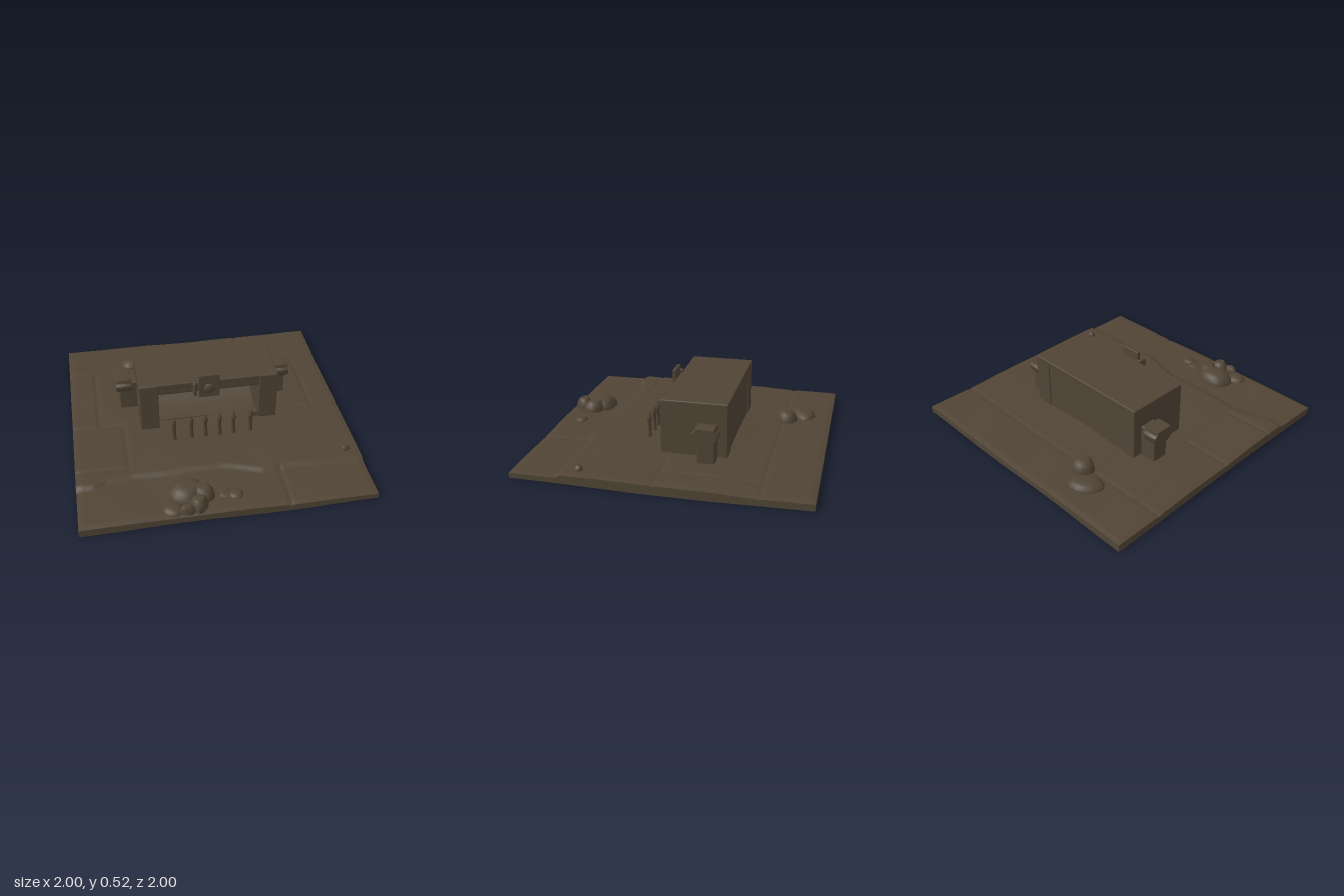
import * as THREE from 'three';
import { toCreasedNormals } from 'three/addons/utils/BufferGeometryUtils.js';
import { RoundedBoxGeometry } from 'three/addons/geometries/RoundedBoxGeometry.js';

export function createModel() {
  const group = new THREE.Group();
  const stone = new THREE.MeshStandardMaterial({ color: 0x504435, side: THREE.DoubleSide });
  stone.name = 'dark brown stone';

  const add = (name, geometry, x = 0, y = 0, z = 0, parent = group) => {
    const mesh = new THREE.Mesh(geometry, stone);
    mesh.name = name;
    mesh.position.set(x, y, z);
    parent.add(mesh);
    return mesh;
  };
  const block = (w, h, d, r = 0.008) => new RoundedBoxGeometry(w, h, d, 2, r);
  const { smoothstep: smooth, lerp, clamp } = THREE.MathUtils;

  // Wavering crack across the front of the paving, as (x, z) points
  const crack = [[-1, 0.64], [-0.88, 0.65], [-0.8, 0.61], [-0.62, 0.58], [-0.4, 0.59], [-0.2, 0.58],
    [0, 0.58], [0.12, 0.61], [0.28, 0.67], [0.45, 0.64], [0.7, 0.66], [1, 0.66]];
  const crackZ = (x) => {
    const i = Math.max(1, crack.findIndex((p) => p[0] >= x - 1e-6));
    const [a, b] = [crack[i - 1], crack[i]];
    return lerp(a[1], b[1], (x - a[0]) / (b[0] - a[0]));
  };
  // Upright joints between slabs: x, from z, to z
  const joints = [[-0.63, 0.03, 0.5], [-0.4, -0.65, -0.36], [0.4, -1, -0.65], [0.4, 0.64, 1],
    [-0.8, -0.65, 0.03], [0.8, -0.65, 0.03]];
  const groove = (x, z) => {
    const line = (d) => Math.max(0, 1 - Math.abs(d) / 0.022);
    let g = line(z + 0.65);
    if (Math.abs(x) > 0.6) g = Math.max(g, line(z - 0.03));
    if (x < -0.62) g = Math.max(g, line(z - 0.5));
    for (const [jx, z0, z1] of joints) {
      if (z > z0 && z < z1) g = Math.max(g, line(x - jx));
    }
    return g;
  };
  const topHeight = (x, z) => {
    let h = 0.06 + 0.013 * smooth(z, -0.66, -0.3) + 0.01 * smooth(z, 0, 0.5);
    h -= 0.02 * smooth(z - crackZ(x), -0.02, 0.02);
    h += 0.003 * Math.sin(4 * x + 2 * z) + 0.002 * Math.sin(9 * x - 5 * z);
    h -= 0.004 * x * smooth(z, 0, 0.5);
    // Gentle pointed rise behind the building
    if (z < -0.3) h += 0.012 * Math.max(0, 1 - Math.max(0, -0.34 - z) / 0.21 - Math.abs(x) / 0.42);
    h -= 0.007 * smooth(Math.max(Math.abs(x), Math.abs(z)), 0.96, 1);
    return h - 0.008 * groove(x, z);
  };

  // Paved ground: an open shell whose outermost ring of points drops to form the rim
  const cells = 142;
  const groundGeometry = new THREE.PlaneGeometry(2, 2, cells, cells);
  groundGeometry.rotateX(-Math.PI / 2);
  const p = groundGeometry.attributes.position;
  const spread = cells / (cells - 2);
  for (let i = 0; i < p.count; i++) {
    const x = clamp(p.getX(i) * spread, -1, 1), z = clamp(p.getZ(i) * spread, -1, 1);
    const onRim = Math.max(Math.abs(p.getX(i)), Math.abs(p.getZ(i))) > 0.9999;
    const low = Math.max(0, 0.006 + 0.007 * Math.sin(5 * x + 3 * z));
    p.setXYZ(i, x, onRim ? low : topHeight(x, z), z);
  }
  add('pavedGround', toCreasedNormals(groundGeometry, 0.7));

  // Lintel and hollow back wall: one side profile (z, y) swept across
  const profile = new THREE.Shape();
  profile.moveTo(-0.355, 0.068);
  profile.lineTo(0.02, 0.068);
  profile.lineTo(0.02, 0.076);
  profile.bezierCurveTo(-0.13, 0.09, -0.24, 0.16, -0.25, 0.24);
  profile.bezierCurveTo(-0.255, 0.32, -0.18, 0.36, -0.02, 0.36);
  profile.lineTo(0.08, 0.36);
  profile.lineTo(0.092, 0.375);
  profile.lineTo(0.092, 0.44);
  profile.lineTo(-0.355, 0.44);
  const hall = new THREE.ExtrudeGeometry(profile, { depth: 0.8, bevelEnabled: false, curveSegments: 14 });
  hall.translate(0, 0, -0.4);
  hall.rotateY(-Math.PI / 2);
  add('hollowHall', toCreasedNormals(hall, 0.6));
  add('roof', block(1.005, 0.035, 0.465), 0, 0.4405, -0.132);

  // Head outline of the side lanterns: round below, flat on top
  const head = new THREE.Shape();
  head.moveTo(-0.06, 0.06);
  head.lineTo(-0.066, 0.03);
  head.lineTo(-0.083, 0.012);
  head.absarc(0, 0, 0.083, Math.PI, 2 * Math.PI, false);
  head.lineTo(0.083, 0.012);
  head.lineTo(0.066, 0.03);
  head.lineTo(0.06, 0.06);
  const headGeometry = new THREE.ExtrudeGeometry(head, {
    depth: 0.085, bevelThickness: 0.014, bevelSize: 0.005, bevelSegments: 1, curveSegments: 12,
  });
  headGeometry.translate(0, 0, -0.0425);
  headGeometry.scale(1, 0.78, 1);
  headGeometry.rotateY(-Math.PI / 2);
  const lanternHead = toCreasedNormals(headGeometry, 0.6);

  for (const s of [-1, 1]) {
    const side = s > 0 ? 'left' : 'right';
    add(side + 'Wall', block(0.135, 0.39, 0.468), s * 0.435, 0.26, -0.13);
    add(side + 'LanternPost', block(0.125, 0.185, 0.12), s * 0.5675, 0.1575, -0.238);
    add(side + 'LanternHead', lanternHead, s * 0.597, 0.28, -0.235);
    add(side + 'LanternBracket', block(0.06, 0.07, 0.12), s * 0.525, 0.27, -0.235);
  }
  add('wallFoot', block(0.06, 0.05, 0.06), 0.34, 0.095, 0.06);

  // Plaque hung on the lintel, with a boss and a hook at its side
  const plaque = new THREE.Group();
  plaque.name = 'plaque';
  plaque.position.set(-0.005, 0.43, 0.115);
  group.add(plaque);
  add('plaqueBoard', block(0.15, 0.19, 0.025, 0.006), 0, 0, 0, plaque);
  const boss = add('plaqueBoss', new THREE.SphereGeometry(0.04, 12, 8), 0, -0.02, 0.008, plaque);
  boss.scale.set(1, 1.1, 0.5);
  add('plaqueHook', block(0.025, 0.12, 0.05), -0.102, -0.01, 0.0, plaque);
  add('plaqueHookTip', block(0.02, 0.05, 0.04), -0.107, 0.015, 0.015, plaque);
  add('plaqueArm', block(0.06, 0.03, 0.02), -0.08, 0.02, -0.005, plaque);

  // Row of spear-tipped stakes
  const stake = new THREE.LatheGeometry([[0.019, 0.072], [0.015, 0.098], [0.012, 0.2], [0.018, 0.208],
    [0.016, 0.232], [0, 0.278]].map(([r, y]) => new THREE.Vector2(r, y)), 8);
  const stakeGeometry = toCreasedNormals(stake, 0.7);
  [-0.28, -0.155, -0.053, 0.05, 0.152, 0.277].forEach((x, i) => add('stake' + (i + 1), stakeGeometry, x, 0, 0.245));

  // Worn boulders: x, z, half width, half depth, top height, turn
  const boulders = [
    [-0.27, 0.79, 0.13, 0.11, 0.145, 0.3], [-0.17, 0.82, 0.07, 0.09, 0.145, 0.8],
    [-0.21, 0.92, 0.065, 0.065, 0.145, 0.1], [-0.29, 0.955, 0.06, 0.035, 0.12, 0],
    [-0.38, 0.92, 0.07, 0.07, 0.09, 0.5], [-0.02, 0.83, 0.045, 0.05, 0.075, 0],
    [0.05, 0.85, 0.05, 0.05, 0.085, 0.6], [-0.46, -0.78, 0.135, 0.09, 0.105, 0.5],
    [-0.32, -0.67, 0.085, 0.08, 0.135, 0.2], [0.9, 0.55, 0.035, 0.03, 0.108, 0],
  ];
  boulders.forEach(([x, z, w, d, top, turn], i) => {
    const g = new THREE.SphereGeometry(1, 14, 6, 0, 2 * Math.PI, 0, Math.PI / 2);
    const q = g.attributes.position;
    const base = topHeight(x, z) - 0.006;
    const v = new THREE.Vector3();
    for (let k = 0; k < q.count; k++) {
      v.fromBufferAttribute(q, k);
      const f = 1 + 0.09 * Math.sin(4 * v.x + i) * Math.cos(3 * v.z + 2 * i);
      // Worn flat on top
      const y = Math.min(0.88, v.y) / 0.88 * (top - base);
      q.setXYZ(k, v.x * f * w, y, v.z * f * d);
    }
    const rock = add('boulder' + (i + 1), toCreasedNormals(g, 0.7), x, base, z);
    rock.rotation.y = turn;
  });

  return group;
}
